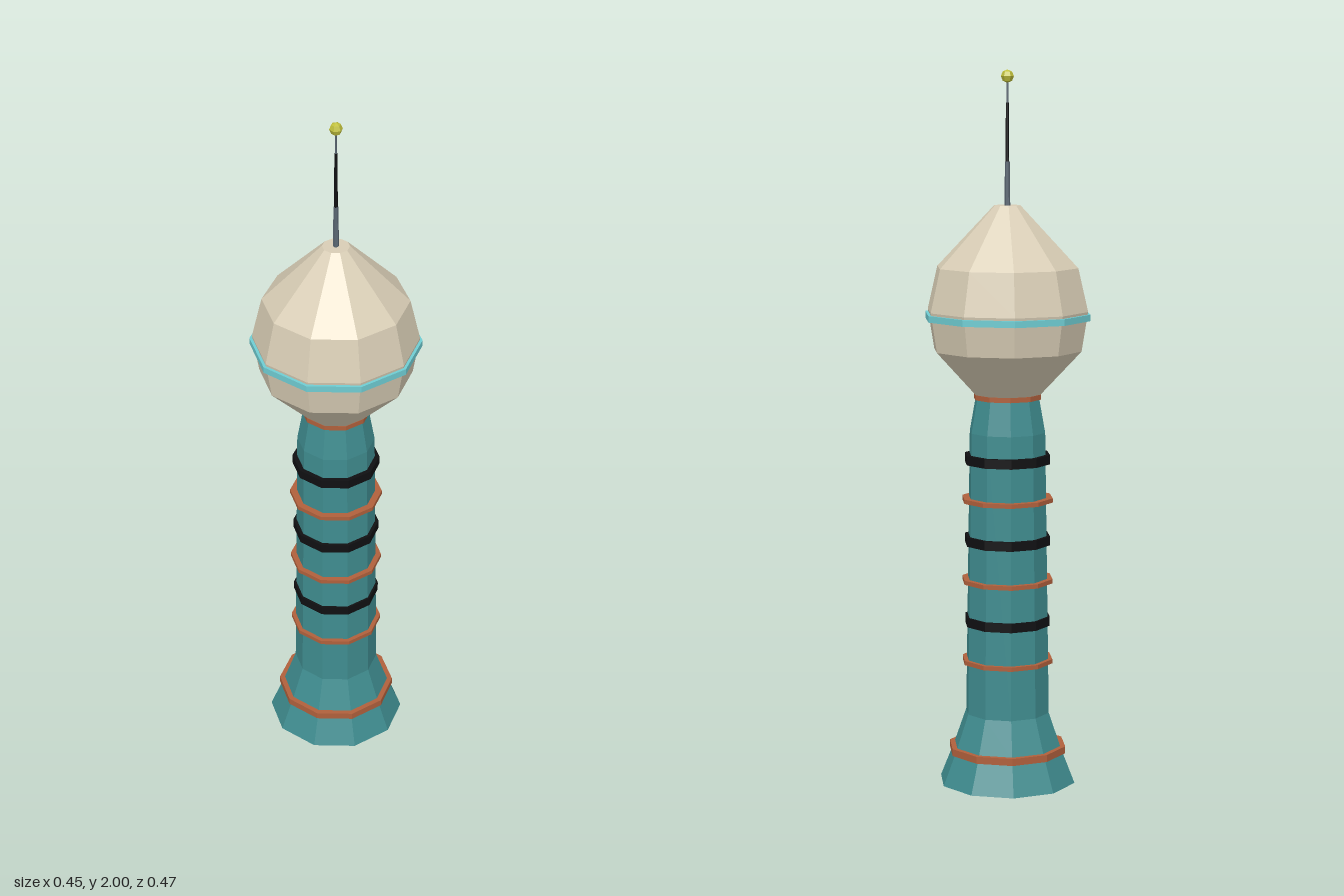
import * as THREE from 'three';

const SIDES = 10;

function mat(name, color) {
  const m = new THREE.MeshStandardMaterial({ color, flatShading: true });
  m.name = name;
  return m;
}

export function createModel() {
  const teal = mat('teal', 0x3f8c8f);
  const cream = mat('cream', 0xd8cdb5);
  const copper = mat('copper', 0xb0603c);
  const black = mat('black', 0x101012);
  const aqua = mat('aqua', 0x6fccd2);
  const steel = mat('steel', 0x5a6672);
  const yellow = mat('yellow', 0xc0c03c);

  const group = new THREE.Group();
  group.name = 'tower';

  function add(name, geometry, material, y = 0) {
    const mesh = new THREE.Mesh(geometry, material);
    mesh.name = name;
    mesh.position.y = y;
    group.add(mesh);
    return mesh;
  }
  // Faceted solid turned from [radius, height] pairs, bottom to top
  const turned = (name, profile, material) =>
    add(name, new THREE.LatheGeometry(profile.map(([r, y]) => new THREE.Vector2(r, y)), SIDES), material);
  // Flat ten-sided ring around the tower
  const ring = (name, r, h, y, material) =>
    add(name, new THREE.CylinderGeometry(r, r, h, SIDES), material, y);

  // Shaft with flared foot and narrowed neck
  turned('shaft', [[0, 0], [0.195, 0], [0.155, 0.1], [0.12, 0.2], [0.108, 1.0], [0.09, 1.1], [0, 1.1]], teal);

  // Rings on the foot, shaft and neck
  ring('footRing', 0.168, 0.02, 0.095, copper);
  ring('neckRing', 0.096, 0.014, 1.1, copper);
  for (let i = 0; i < 3; i++) {
    ring('copperRing', 0.13, 0.012, 0.35 + i * 0.23, copper);
    ring('blackBand', 0.122, 0.026, 0.465 + i * 0.23, black);
  }

  // Observation pod and its bright belt
  turned('pod', [[0, 1.1], [0.088, 1.1], [0.21, 1.23], [0.228, 1.34], [0.2, 1.46], [0.0375, 1.63], [0, 1.63]], cream);
  ring('podBelt', 0.235, 0.018, 1.324, aqua);

  // Stepped mast: bottom, top, radius, material
  [[1.63, 1.75, 0.008, steel], [1.75, 1.91, 0.005, black], [1.91, 1.97, 0.003, steel]].forEach(([a, b, r, m]) =>
    add('mast', new THREE.CylinderGeometry(r * 0.85, r, b - a, 6), m, (a + b) / 2));

  // Beacon ball at the tip
  add('beacon', new THREE.SphereGeometry(0.018, 6, 4), yellow, 1.982).rotation.y = Math.PI / 2;

  return group;
}
